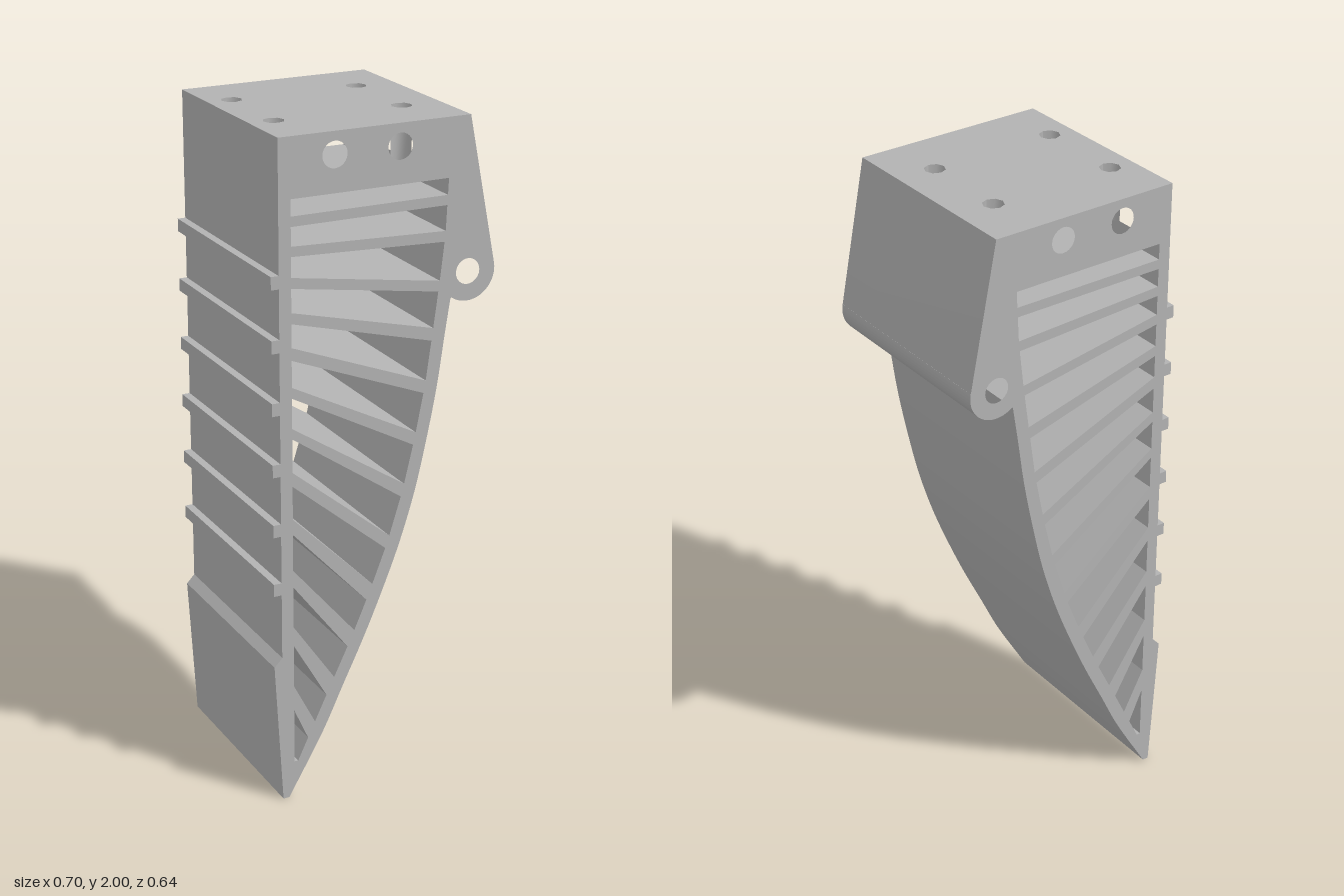
import * as THREE from 'three';
import { toCreasedNormals } from 'three/addons/utils/BufferGeometryUtils.js';

const TOP = 2, SLAB = 1.828, DEPTH = 0.636, WALL = -0.29;
const BOLT_R = 0.031, BOLT_SIDES = 8;
const v = (x, y) => new THREE.Vector2(x, y);

// Inner face of the curved wall, [x, y] from the top down
const INNER = [[0.196, 1.828], [0.188, 1.667], [0.172, 1.53], [0.151, 1.376], [0.13, 1.228],
  [0.098, 1.069], [0.061, 0.915], [0.013, 0.762], [-0.045, 0.614], [-0.103, 0.481],
  [-0.167, 0.349], [-0.23, 0.217], [-0.278, 0.116]];

// Outer face of the curved wall, from the pivot boss to the tip
const OUTER = [[0.191, 1.37], [0.169, 1.221], [0.137, 1.06], [0.1, 0.904], [0.051, 0.749],
  [-0.008, 0.599], [-0.067, 0.464], [-0.131, 0.331], [-0.194, 0.199], [-0.308, 0]];

// Ribs: top and bottom at the straight wall, top and bottom at the curved wall
const RIBS = [
  [1.78, 1.751, 1.78, 1.751], [1.696, 1.667, 1.677, 1.646], [1.608, 1.577, 1.534, 1.503],
  [1.508, 1.476, 1.397, 1.36], [1.407, 1.37, 1.243, 1.206], [1.291, 1.259, 1.09, 1.053],
  [1.169, 1.138, 0.937, 0.899], [1.037, 0.995, 0.783, 0.746], [0.894, 0.847, 0.64, 0.593],
  [0.735, 0.683, 0.503, 0.455], [0.556, 0.497, 0.365, 0.312], [0.365, 0.286, 0.233, 0.185],
];

function innerX(y) {
  for (let i = 1; i < INNER.length; i++) {
    const [x0, y0] = INNER[i - 1], [x1, y1] = INNER[i];
    if (y >= y1) return x0 + (x1 - x0) * (y - y0) / (y1 - y0);
  }
  return INNER[INNER.length - 1][0];
}

function circleHole(x, y, r, sides) {
  const pts = [];
  for (let i = 0; i < sides; i++) {
    const a = (i / sides) * Math.PI * 2;
    pts.push(v(x + r * Math.sin(a), y + r * Math.cos(a)));
  }
  return new THREE.Path(pts);
}

// Drops the triangles lying in a horizontal plane, so a drilled face can replace them
function removeLevel(geometry, level) {
  const p = geometry.attributes.position, kept = [];
  for (let i = 0; i < p.count; i += 3) {
    if ([0, 1, 2].every(k => Math.abs(p.getY(i + k) - level) < 1e-4)) continue;
    for (let k = 0; k < 3; k++) kept.push(p.getX(i + k), p.getY(i + k), p.getZ(i + k));
  }
  const out = new THREE.BufferGeometry();
  out.setAttribute('position', new THREE.Float32BufferAttribute(kept, 3));
  return out;
}

export function createModel() {
  const group = new THREE.Group();
  const grey = new THREE.MeshStandardMaterial({ color: 0xb2b2b2 });
  grey.name = 'light grey';
  const add = (name, geometry) => {
    const mesh = new THREE.Mesh(geometry, grey);
    mesh.name = name;
    group.add(mesh);
    return mesh;
  };

  // Side profile with pivot boss, curved wall and fingertip pad
  const shape = new THREE.Shape();
  shape.moveTo(-0.327, TOP);
  shape.lineTo(0.262, TOP);
  shape.lineTo(0.347, 1.567);
  shape.absarc(0.262, 1.55, 0.087, 0.197, -2.2, true);
  const curve = new THREE.CatmullRomCurve3(
    [[0.208, 1.478], ...OUTER].map(([x, y]) => new THREE.Vector3(x, y, 0)));
  curve.getPoints(40).forEach(p => shape.lineTo(p.x, p.y));
  shape.lineTo(-0.327, 0);
  shape.lineTo(-0.352, 0.44);
  shape.lineTo(-0.327, 0.466);
  shape.closePath();

  // Cross holes and pivot hole
  for (const [x, y] of [[-0.157, 1.935], [0.043, 1.935], [0.262, 1.55]])
    shape.holes.push(circleHole(x, y, 0.038, 24));

  // Openings between neighbouring ribs
  const edges = [[0, SLAB, 0, SLAB], ...RIBS, [0.116, 0, 0.116, 0]];
  for (let i = 1; i < edges.length; i++) {
    const [, lTop, , rTop] = edges[i - 1], [lBot, , rBot] = edges[i];
    shape.holes.push(new THREE.Path([
      v(WALL, lTop), v(WALL, lBot), v(innerX(rBot), rBot), v(innerX(rTop), rTop),
    ]));
  }

  let body = new THREE.ExtrudeGeometry(shape, { depth: DEPTH, bevelEnabled: false, curveSegments: 20 });
  body.translate(0, 0, -DEPTH / 2);
  body = removeLevel(removeLevel(body, TOP), SLAB);
  add('fingerBody', toCreasedNormals(body, 0.4));

  // Drilled mounting faces above and below the top slab
  const bolts = [];
  for (const x of [-0.253, 0.142]) for (const z of [-0.138, 0.138]) bolts.push([x, z]);
  const drilledFace = (name, x0, x1, y, turn) => {
    const h = DEPTH / 2;
    const face = new THREE.Shape([v(x0, -h), v(x1, -h), v(x1, h), v(x0, h)]);
    bolts.forEach(([x, z]) => face.holes.push(circleHole(x, z, BOLT_R, BOLT_SIDES)));
    add(name, new THREE.ShapeGeometry(face).rotateX(turn).translate(0, y, 0));
  };
  drilledFace('mountingFace', -0.327, 0.262, TOP, -Math.PI / 2);
  drilledFace('slabUnderside', WALL, innerX(SLAB), SLAB, Math.PI / 2);

  // Bolt hole walls, turned to face inwards
  for (const [x, z] of bolts) {
    const tube = new THREE.CylinderGeometry(BOLT_R, BOLT_R, TOP - SLAB, BOLT_SIDES, 1, true);
    tube.scale(-1, 1, 1);
    tube.computeVertexNormals();
    add('boltHole', tube).position.set(x, (TOP + SLAB) / 2, z);
  }

  // Grip ridges along the straight wall
  for (let i = 0; i < 6; i++)
    add('gripRidge', new THREE.BoxGeometry(0.026, 0.038, DEPTH))
      .position.set(-0.338, 1.6 - i * 0.183, 0);

  return group;
}
